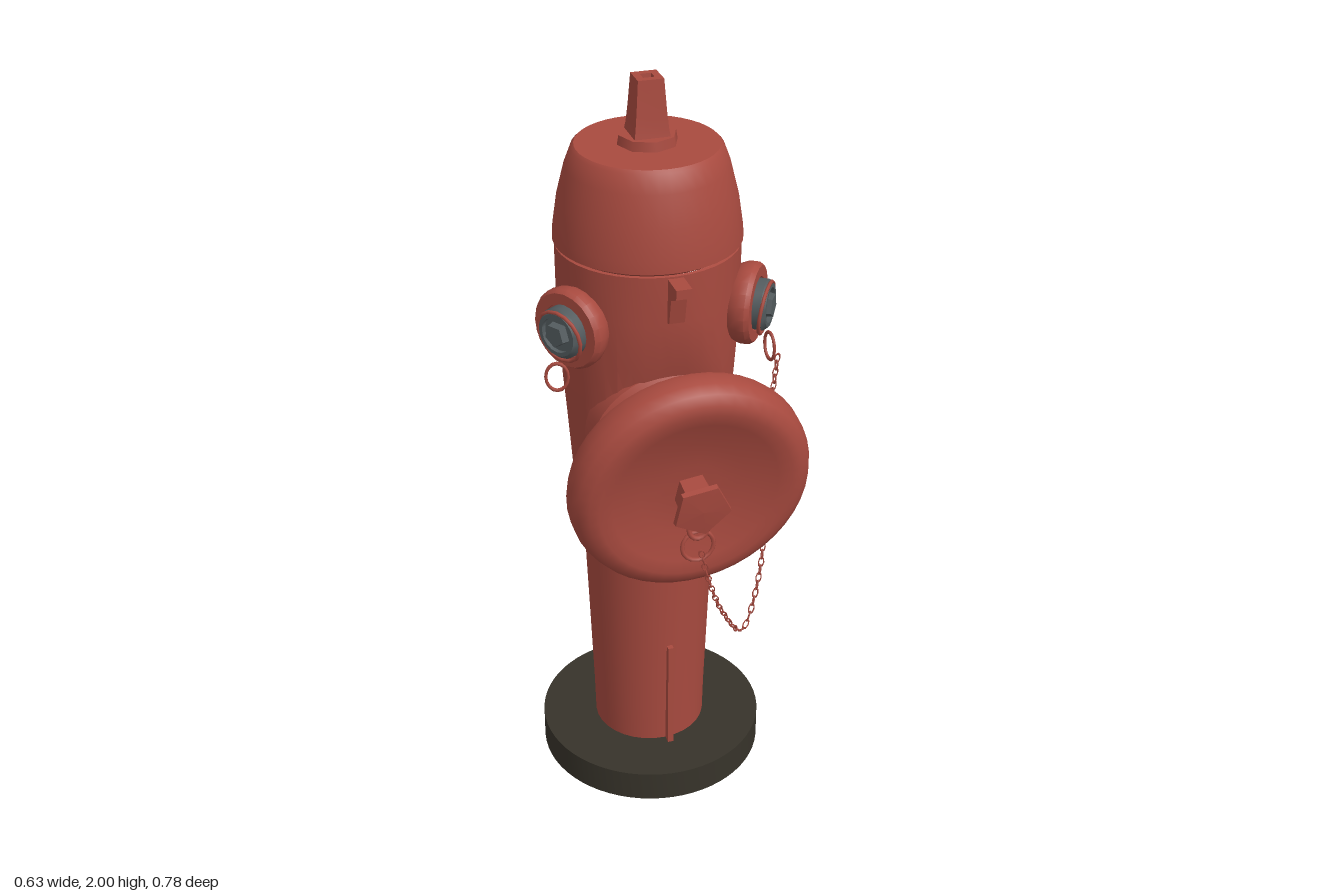
import * as THREE from 'three';
import { mergeVertices, toCreasedNormals } from 'three/addons/utils/BufferGeometryUtils.js';

const red = new THREE.MeshStandardMaterial({ color: 0xa84a3f });
red.name = 'red paint';
const grey = new THREE.MeshStandardMaterial({ color: 0x535b5e });
grey.name = 'grey metal';
const dark = new THREE.MeshStandardMaterial({ color: 0x37332a });
dark.name = 'dark base';

const AXIS_Z = -0.08;
const TILT = THREE.MathUtils.degToRad(8);

// Smooth normals with sharp edges kept above the crease angle
function crease(geo, angle = 0.6) {
  geo.deleteAttribute('uv');
  geo.deleteAttribute('normal');
  return toCreasedNormals(mergeVertices(geo, 1e-5), angle);
}

function turned(points, sides = 32, phase = 0) {
  return new THREE.LatheGeometry(points.map(([r, y]) => new THREE.Vector2(r, y)), sides, phase);
}

function add(parent, name, geo, material, x = 0, y = 0, z = 0) {
  const mesh = new THREE.Mesh(geo, material);
  mesh.name = name;
  mesh.position.set(x, y, z);
  parent.add(mesh);
  return mesh;
}

// Turned part whose axis points along local +z
function addForward(parent, name, points, material, sides = 32, angle = 0.6) {
  return add(parent, name, crease(turned(points, sides).rotateX(Math.PI / 2), angle), material);
}

function addRing(parent, name, radius, tube, x, y, z, rx = 0, ry = 0) {
  const ring = add(parent, name, new THREE.TorusGeometry(radius, tube, 6, 16), red, x, y, z);
  ring.rotation.set(rx, ry, 0);
  return ring;
}

// Thin links strung along a curve, alternating a quarter turn
function addChain(parent, name, points, count) {
  const curve = new THREE.CatmullRomCurve3(points.map(p => new THREE.Vector3(...p)));
  const link = new THREE.TorusGeometry(0.009, 0.0022, 4, 8).scale(1.5, 0.8, 1);
  const chain = new THREE.Group();
  chain.name = name;
  for (let i = 0; i <= count; i++) {
    const mesh = add(chain, name + 'Link', link, red);
    mesh.position.copy(curve.getPointAt(i / count));
    mesh.quaternion.setFromUnitVectors(new THREE.Vector3(1, 0, 0), curve.getTangentAt(i / count));
    mesh.rotateX((i % 2) * Math.PI / 2);
  }
  parent.add(chain);
}

// Side outlet with collar, grey plug and hanging ring
function addOutlet(parent, side) {
  const outlet = new THREE.Group();
  outlet.name = side > 0 ? 'leftOutlet' : 'rightOutlet';
  outlet.position.set(side * 0.25, 1.42, 0.048);
  outlet.rotation.y = side * THREE.MathUtils.degToRad(56);
  addForward(outlet, 'outletCollar', [[0.13, -0.14], [0.1, -0.1], [0.085, -0.07], [0.098, -0.05],
    [0.106, -0.03], [0.106, -0.01], [0.098, 0.002], [0.07, 0.002], [0.07, -0.01], [0, -0.01]], red, 20);
  addForward(outlet, 'outletPlug', [[0.066, -0.02], [0.066, 0.022], [0.056, 0.034],
    [0.046, 0.034], [0.046, 0.022], [0, 0.022]], grey, 18);
  addForward(outlet, 'plugNut', [[0.034, 0.02], [0.03, 0.042], [0, 0.042]], grey, 5, 0.2);
  addRing(outlet, 'plugRing', 0.068, 0.005, 0, -0.008, 0.022, 0.12);
  addRing(outlet, 'hangingRing', 0.028, 0.004, 0, -0.115, 0.035, 0, 0.7).scale.y = 1.35;
  parent.add(outlet);
}

export function createModel() {
  const model = new THREE.Group();
  model.name = 'hydrant';

  // Base collar, a ring split at the back
  const ring = new THREE.Shape();
  ring.absarc(0, 0, 0.31, Math.PI / 2 + 0.015, Math.PI * 2.5 - 0.015, false);
  ring.absarc(0, 0, 0.15, Math.PI * 2.5 - 0.03, Math.PI / 2 + 0.03, true);
  const base = new THREE.ExtrudeGeometry(ring, { depth: 0.088, bevelEnabled: false, curveSegments: 32 });
  add(model, 'base', crease(base.rotateX(-Math.PI / 2)), dark, 0.004, 0, AXIS_Z);

  // Column
  add(model, 'column', crease(turned([[0, 0.03], [0.153, 0.03], [0.157, 0.2], [0.166, 0.45],
    [0.178, 0.77], [0.18, 0.8]])), red, 0, 0, AXIS_Z);

  // Upper body, flattened where the large outlet meets it
  const body = turned([[0.17, 0.768], [0.188, 0.775], [0.193, 0.8], [0.197, 0.84], [0.2, 0.9], [0.207, 1],
    [0.214, 1.1], [0.222, 1.2], [0.23, 1.32], [0.234, 1.45], [0.235, 1.58], [0.228, 1.582]], 40);
  const limits = [[0.8, 0.12], [0.84, 0.085], [0.9, 0.05], [1.1, 0.06], [1.2, 0.09], [1.32, 0.135], [1.45, 0.16]];
  const pos = body.attributes.position;
  for (let i = 0; i < pos.count; i++) {
    const y = pos.getY(i);
    const k = limits.findIndex(l => l[0] >= y - 1e-4);
    if (k < 0) continue;
    pos.setZ(i, Math.min(pos.getZ(i), limits[k][1] - AXIS_Z));
  }
  add(model, 'upperBody', crease(body), red, 0, 0, AXIS_Z);

  // Bonnet
  add(model, 'bonnet', crease(turned([[0.22, 1.578], [0.232, 1.587], [0.239, 1.59], [0.237, 1.62],
    [0.225, 1.7], [0.205, 1.78], [0.188, 1.825], [0.18, 1.833], [0, 1.834]], 40)), red, 0, 0, AXIS_Z);
  add(model, 'spindleFlange', new THREE.CylinderGeometry(0.073, 0.077, 0.024, 8), red, 0, 1.846, AXIS_Z);
  add(model, 'spindle', crease(turned([[0.066, 1.85], [0.06, 1.875], [0.054, 1.92], [0.046, 2],
    [0.02, 2], [0.016, 1.965], [0, 1.965]], 4, Math.PI / 4), 0.5), red, 0, 0, AXIS_Z);

  // Large front outlet and dished cap, leaning slightly downward
  const front = new THREE.Group();
  front.name = 'frontOutlet';
  front.position.set(0, 1.075, 0.27);
  front.rotation.x = TILT;
  addForward(front, 'frontNeck', [[0.2, -0.25], [0.202, -0.18], [0.175, -0.16], [0.165, -0.13],
    [0.185, -0.11], [0.19, -0.06]], red, 36);
  addForward(front, 'frontCap', [[0.15, -0.085], [0.21, -0.085], [0.268, -0.07], [0.283, -0.055],
    [0.286, -0.034], [0.304, -0.034], [0.311, -0.015], [0.31, 0.02], [0.298, 0.048], [0.275, 0.065],
    [0.25, 0.069], [0.215, 0.06], [0.14, 0.037], [0.07, 0.03], [0, 0.03]], red, 44, 0.75);
  const nut = addForward(front, 'capNut', [[0.05, 0.02], [0.052, 0.09], [0.078, 0.1], [0.076, 0.115],
    [0, 0.12]], red, 5, 0.15);
  nut.rotation.z = 0.15;
  nut.position.y = -0.008;
  addRing(front, 'capRing', 0.042, 0.006, 0.012, -0.165, 0.065, -0.2);
  addRing(front, 'capLink', 0.026, 0.006, 0.008, -0.1, 0.07, -0.2).scale.y = 1.2;
  model.add(front);

  for (const side of [1, -1]) addOutlet(model, side);

  // Chains and their fixing ring
  addRing(model, 'chainRing', 0.042, 0.006, 0.23, 0.95, 0.11, 0, 1.4);
  addChain(model, 'outletChain', [[0.285, 1.29, 0.11], [0.27, 1.12, 0.1], [0.23, 0.99, 0.11]], 15);
  addChain(model, 'capChain', [[0.245, 0.91, 0.12], [0.255, 0.7, 0.13], [0.19, 0.51, 0.18],
    [0.1, 0.64, 0.26], [0.04, 0.8, 0.31], [0.02, 0.88, 0.32]], 38);

  // Small front lug under the bonnet
  const lug = new THREE.Shape([[0.13, 1.45], [0.165, 1.46], [0.18, 1.53], [0.22, 1.55], [0.22, 1.575],
    [0.13, 1.575]].map(p => new THREE.Vector2(...p)));
  const slab = (shape, w) => new THREE.ExtrudeGeometry(shape, { depth: w, bevelEnabled: false })
    .translate(0, 0, -w / 2).rotateY(-Math.PI / 2);
  add(model, 'frontLug', slab(lug, 0.04), red);

  // Rear eye bracket
  const eye = new THREE.Shape([[-0.29, 1.23], [-0.32, 1.25], [-0.37, 1.32], [-0.373, 1.37], [-0.34, 1.4],
    [-0.325, 1.45], [-0.29, 1.46]].map(p => new THREE.Vector2(...p)));
  const hole = new THREE.Path();
  hole.absarc(-0.34, 1.35, 0.015, 0, Math.PI * 2, true);
  eye.holes.push(hole);
  add(model, 'rearBracket', slab(eye, 0.02), red);

  // Column seams
  add(model, 'frontSeam', new THREE.BoxGeometry(0.016, 0.34, 0.03), red, 0.01, 0.25, 0.084);
  add(model, 'rearSeam', new THREE.BoxGeometry(0.014, 0.66, 0.02), red, 0, 0.42, -0.244);
  for (const y of [0.43, 0.59]) {
    add(model, 'rearClip', new THREE.BoxGeometry(0.025, 0.03, 0.03), red, 0, y, -0.253);
  }
  return model;
}
